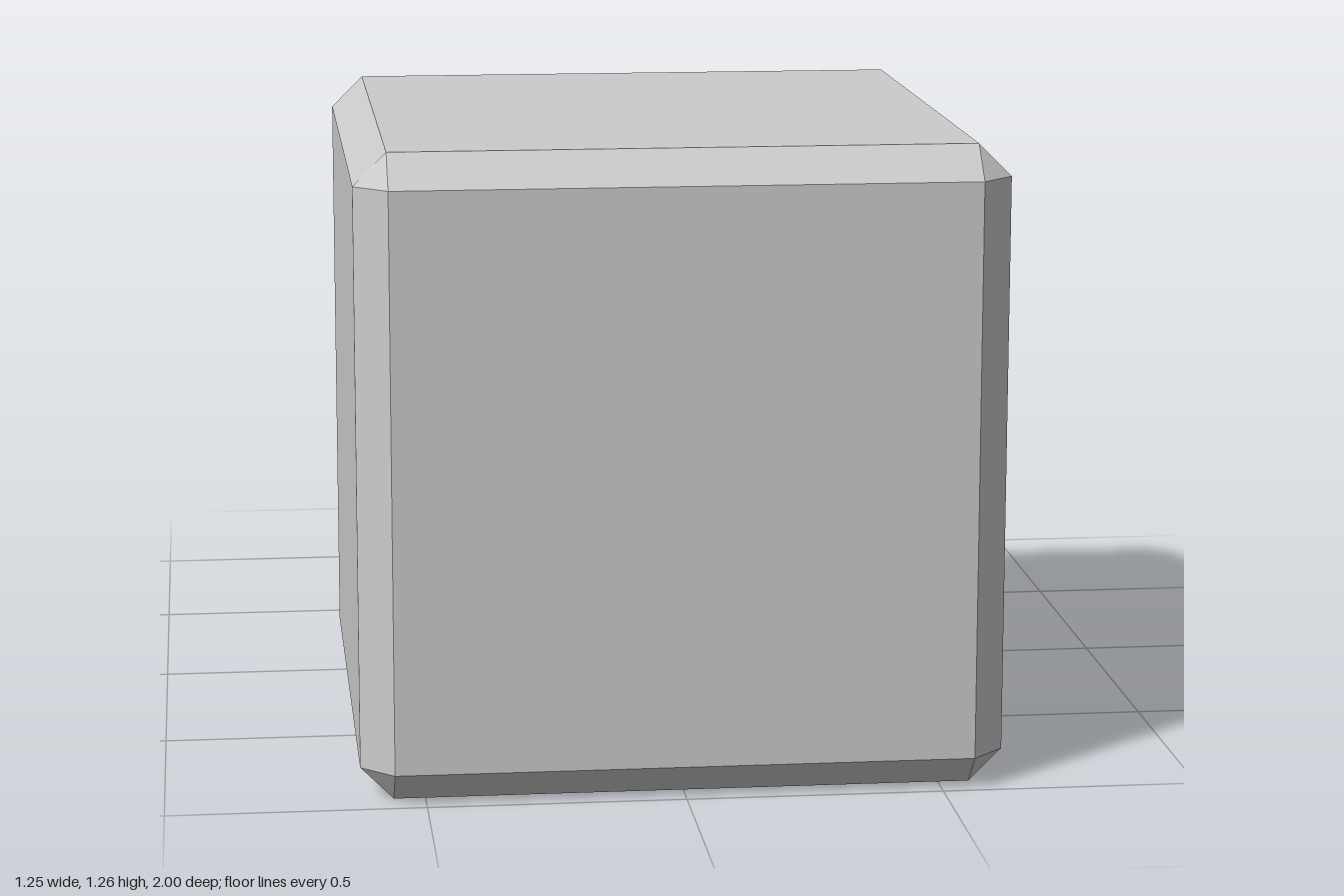
import * as THREE from 'three';
import { ConvexGeometry } from 'three/addons/geometries/ConvexGeometry.js';

const material = new THREE.MeshStandardMaterial({ color: 0xcccccc, flatShading: true });

// Box with every edge and corner cut flat
function chamferedBox(w, h, d, c) {
  const points = [];
  for (const x of [-1, 1]) for (const y of [-1, 1]) for (const z of [-1, 1]) {
    for (let axis = 0; axis < 3; axis++) {
      const half = [w / 2 - c, h / 2 - c, d / 2 - c];
      half[axis] += c;
      points.push(new THREE.Vector3(x * half[0], y * half[1], z * half[2]));
    }
  }
  return new ConvexGeometry(points);
}

// Hexagonal loft towards -z; each ring is [z, radius, turn in steps of 60 degrees]
function hexLoft(rings) {
  const sides = 6, positions = [];
  const corner = ([z, r, turn], i) => {
    const a = (i + turn) * Math.PI * 2 / sides;
    return [r * Math.cos(a), r * Math.sin(a), z];
  };
  for (let k = 0; k < rings.length - 1; k++) {
    for (let i = 0; i < sides; i++) {
      const a = corner(rings[k], i), a2 = corner(rings[k], i + 1);
      const b = corner(rings[k + 1], i), b2 = corner(rings[k + 1], i + 1);
      positions.push(...a, ...b, ...a2, ...b, ...b2, ...a2);
    }
  }
  // Flat end
  const end = rings[rings.length - 1];
  for (let i = 1; i < sides - 1; i++) {
    positions.push(...corner(end, 0), ...corner(end, i + 1), ...corner(end, i));
  }
  const geometry = new THREE.BufferGeometry();
  geometry.setAttribute('position', new THREE.Float32BufferAttribute(positions, 3));
  geometry.computeVertexNormals();
  return geometry;
}

export function createModel() {
  const model = new THREE.Group();
  model.name = 'plugAdapter';

  // Block body
  const body = new THREE.Mesh(chamferedBox(1.25, 1.256, 1.255, 0.064), material);
  body.name = 'body';
  body.position.set(0, 0.628, 0.3725);
  model.add(body);

  // Two prongs at the back, each with a flared collar and a tapered tip
  const collarGeometry = hexLoft([[-0.255, 0.207, 0], [-0.322, 0.113, 0.5]]);
  const prongGeometry = hexLoft([[-0.322, 0.113, 0.5], [-0.936, 0.113, 0.5], [-1, 0.06, 1]]);
  for (const side of [-1, 1]) {
    const pin = new THREE.Group();
    pin.name = side > 0 ? 'leftPin' : 'rightPin';
    const collar = new THREE.Mesh(collarGeometry, material);
    collar.name = 'collar';
    const prong = new THREE.Mesh(prongGeometry, material);
    prong.name = 'prong';
    pin.add(collar, prong);
    pin.position.set(side * 0.313, 0.633, 0);
    model.add(pin);
  }
  return model;
}
